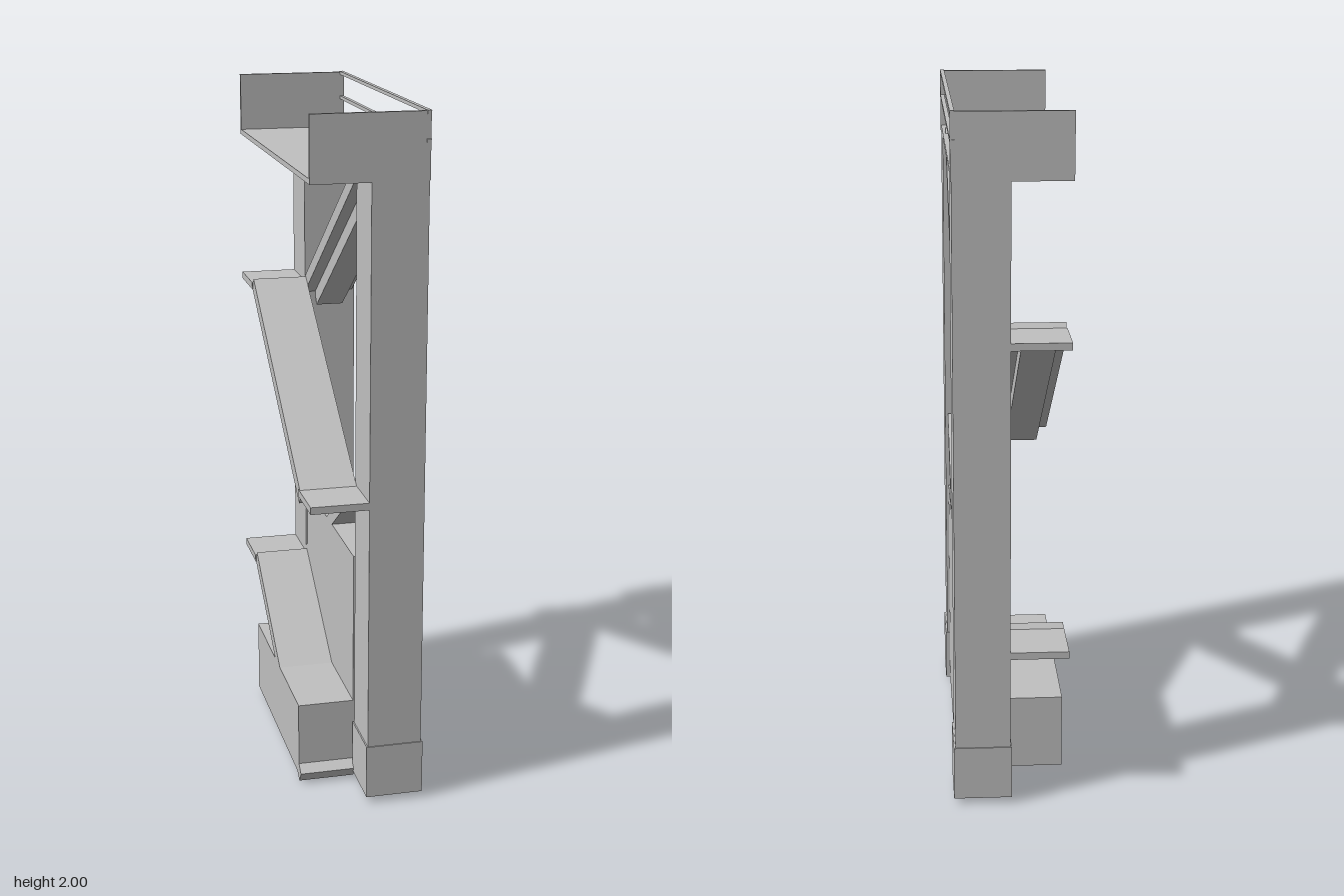
import * as THREE from 'three';

export function createModel() {
  const group = new THREE.Group();
  const concrete = new THREE.MeshStandardMaterial({ color: 0xc0c0c0 });
  concrete.name = 'light grey';

  // Box given by its limits on each axis
  function box(name, x0, x1, y0, y1, z0, z1) {
    const mesh = new THREE.Mesh(new THREE.BoxGeometry(x1 - x0, y1 - y0, z1 - z0), concrete);
    mesh.name = name;
    mesh.position.set((x0 + x1) / 2, (y0 + y1) / 2, (z0 + z1) / 2);
    group.add(mesh);
  }

  // Sloping slab whose top edge runs from (zTop, yTop) to (zLow, yLow);
  // drop and depth set how far below that edge it starts and how thick it is
  function slope(name, x0, x1, [zTop, yTop], [zLow, yLow], drop, depth) {
    const dz = zLow - zTop, dy = yLow - yTop, length = Math.hypot(dz, dy);
    const mesh = new THREE.Mesh(new THREE.BoxGeometry(x1 - x0, depth, length), concrete);
    mesh.name = name;
    const down = drop + depth / 2;
    const nz = -dy / length * Math.sign(dz), ny = Math.abs(dz) / length;
    mesh.position.set((x0 + x1) / 2, (yTop + yLow) / 2 - ny * down, (zTop + zLow) / 2 - nz * down);
    mesh.rotation.x = -Math.atan(dy / dz);
    group.add(mesh);
  }

  // Columns, footings, end walls and rail posts at both ends
  for (const s of [1, -1]) {
    const ends = (a, b) => (s > 0 ? [a, b] : [-b, -a]);
    box('column', 0, 0.158, 0.02, 1.82, ...ends(0.33, 0.493));
    box('columnFooting', -0.004, 0.163, 0.02, 0.18, ...ends(0.326, 0.496));
    box('endWall', -0.167, 0.16, 1.815, 1.998, ...ends(0.481, 0.493));
  }

  // Top platform with two rails on one side
  box('platformFloor', -0.167, 0.158, 1.815, 1.83, -0.49, 0.49);
  for (const y of [1.92, 1.995]) box('rail', 0.148, 0.16, y - 0.005, y + 0.005, -0.496, 0.496);

  // Solid blocks at the base
  box('tallBaseBlock', 0, 0.15, 0.02, 0.7, -0.308, 0.313);
  box('lowBaseBlock', -0.165, 0, 0.02, 0.243, -0.308, 0.313);

  // Landings between the flights
  box('rearUpperLanding', -0.167, 0, 1.357, 1.378, -0.493, -0.33);
  box('frontLanding', -0.167, 0, 0.905, 0.926, 0.33, 0.493);
  box('rearLowerLanding', -0.167, 0, 0.453, 0.474, -0.493, -0.33);

  // Ramped flights, the upper two carried by a beam
  const flights = [
    [0, 0.15, [0.317, 1.845], [-0.358, 1.37], true],
    [-0.165, 0, [-0.317, 1.392], [0.358, 0.917], true],
    [0, 0.15, [0.317, 0.94], [-0.345, 0.485], false],
    [-0.165, 0, [-0.317, 0.489], [0.342, 0.034], false],
  ];
  for (const [x0, x1, top, low, beam] of flights) {
    slope('flightSlab', x0, x1, top, low, 0, 0.04);
    if (beam) slope('flightBeam', x0 + 0.033, x1 - 0.035, top, low, 0.04, 0.043);
  }

  return group;
}
